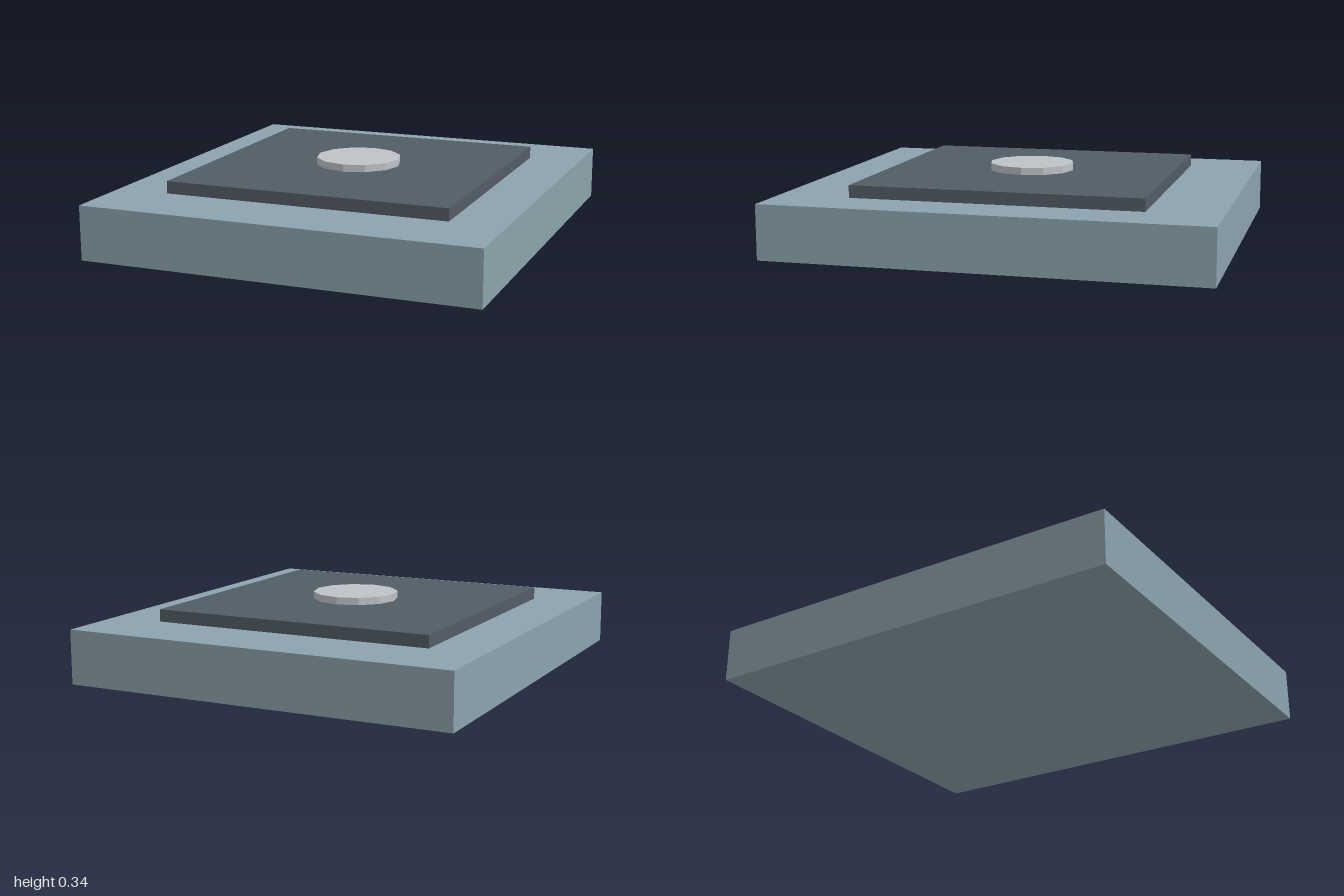
import * as THREE from 'three';

const flat = (name, color) => {
  const material = new THREE.MeshStandardMaterial({ color });
  material.name = name;
  return material;
};

export function createModel() {
  const model = new THREE.Group();
  model.name = 'steppedPad';

  const blueGrey = flat('blueGrey', 0x8ca3ad);
  const slate = flat('slate', 0x525c66);
  const paleGrey = flat('paleGrey', 0xbfc2c7);

  // Stack each part on top of the previous one
  let top = 0;
  const stack = (name, geometry, height, material) => {
    const mesh = new THREE.Mesh(geometry, material);
    mesh.name = name;
    mesh.position.y = top + height / 2;
    top += height;
    model.add(mesh);
  };

  // Broad slab
  stack('base', new THREE.BoxGeometry(1.833, 0.25, 2), 0.25, blueGrey);

  // Square raised plate
  stack('plate', new THREE.BoxGeometry(1.333, 0.057, 1.333), 0.057, slate);

  // Twelve-sided centre disc, faceted
  const disc = new THREE.CylinderGeometry(0.2, 0.2, 0.034, 12).toNonIndexed();
  disc.computeVertexNormals();
  stack('disc', disc, 0.034, paleGrey);

  return model;
}
